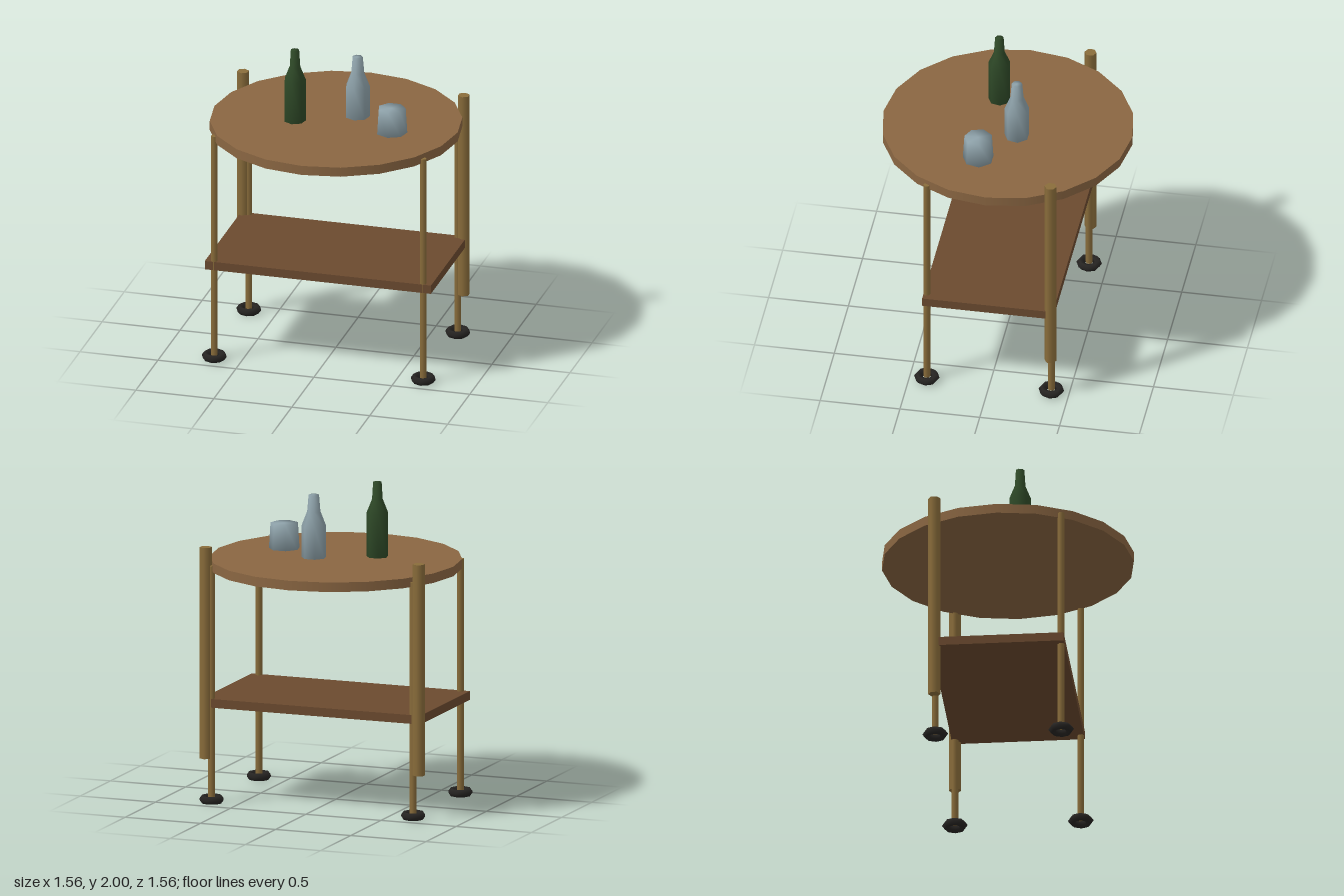
import * as THREE from 'three';

const mat = (color) => new THREE.MeshStandardMaterial({ color });
const topWood = mat(0x8a6642);
const shelfWood = mat(0x6b4a2f);
const brass = mat(0x8a6d3b);
const rubber = mat(0x262422);
const greenGlass = mat(0x2f4a28);
const clearGlass = mat(0x8fa3ab);

export function createModel() {
  const group = new THREE.Group();

  const add = (name, geometry, material, x, y, z) => {
    const mesh = new THREE.Mesh(geometry, material);
    mesh.name = name;
    mesh.position.set(x, y, z);
    group.add(mesh);
    return mesh;
  };

  // Upright post between two heights
  const post = (name, r, y0, y1, x, z) =>
    add(name, new THREE.CylinderGeometry(r, r, y1 - y0, 6), brass, x, (y0 + y1) / 2, z);

  // Closed seven-sided vessel from [radius, height] pairs
  const vessel = (name, rings, material, x, z) => {
    const points = rings.map(([r, y]) => new THREE.Vector2(r, y));
    add(name, new THREE.LatheGeometry(points, 7), material, x, 1.53, z);
  };

  // Round top and rectangular lower shelf
  add('tableTop', new THREE.CylinderGeometry(0.78, 0.78, 0.06, 20), topWood, 0, 1.495, 0);
  add('lowerShelf', new THREE.BoxGeometry(1.45, 0.055, 0.82), shelfWood, 0, 0.632, 0);

  // Legs with ring feet, and thicker push posts at the back
  for (const side of [-1, 1]) {
    const label = side > 0 ? 'Left' : 'Right';
    for (const end of [-1, 1]) {
      const name = (end > 0 ? 'front' : 'back') + label;
      post(name + 'Leg', 0.0215, 0.03, 1.495, side * 0.67, end * 0.39);
      const ring = new THREE.TorusGeometry(0.055, 0.025, 5, 8).rotateX(Math.PI / 2);
      add(name + 'Foot', ring, rubber, side * 0.67, 0.025, end * 0.39);
    }
    post('back' + label + 'HandlePost', 0.038, 0.28, 1.61, side * 0.708, -0.392);
  }

  // Bottles and tumbler
  vessel('greenBottle',
    [[0, 0], [0.068, 0], [0.068, 0.275], [0.034, 0.36], [0.027, 0.47], [0, 0.47]],
    greenGlass, -0.237, 0.096);
  vessel('clearBottle',
    [[0, 0], [0.077, 0], [0.077, 0.2], [0.042, 0.29], [0.033, 0.395], [0, 0.395]],
    clearGlass, 0.116, -0.077);
  vessel('tumbler', [[0, 0], [0.097, 0], [0.087, 0.16], [0, 0.16]], clearGlass, 0.39, 0.117);

  return group;
}
